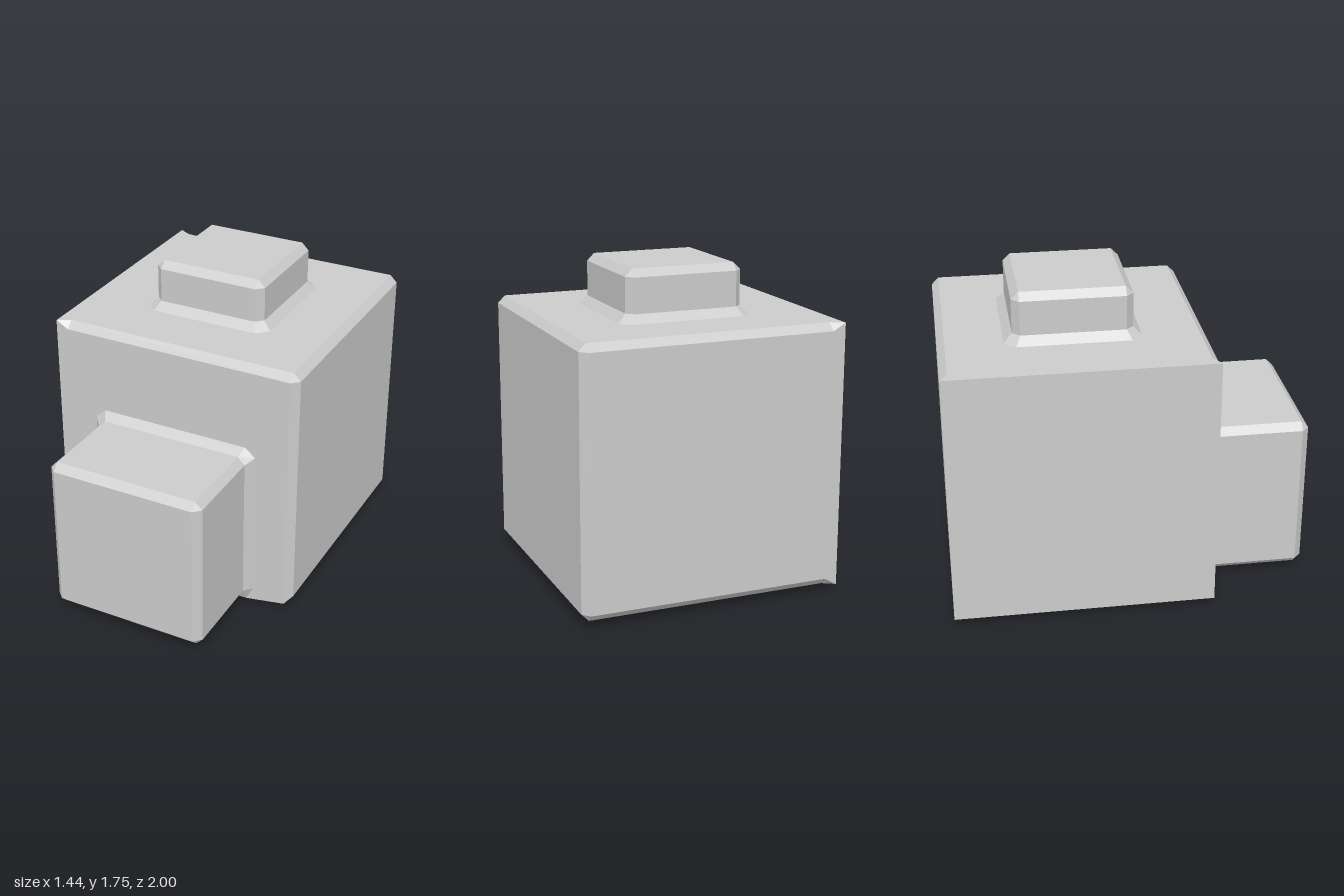
import * as THREE from 'three';

const material = new THREE.MeshStandardMaterial({ color: 0xcccccc, flatShading: true });

// Map (u, v, w) so that w runs along the chosen axis, keeping handedness
const place = {
  x: (u, v, w) => [w, u, v],
  y: (u, v, w) => [v, w, u],
  z: (u, v, w) => [u, v, w],
};

// Rectangle with cut corners, counter-clockwise; c may differ per corner
function cutRect(u0, u1, v0, v1, c) {
  const [a, b, d, e] = Array.isArray(c) ? c : [c, c, c, c];
  return [
    [u1 - a, v0], [u1, v0 + a], [u1, v1 - b], [u1 - b, v1],
    [u0 + d, v1], [u0, v1 - d], [u0, v0 + e], [u0 + e, v0],
  ];
}

// Capped skin through sections [w, loop] along an axis
function loft(name, axis, sections) {
  const rings = sections.map(([w, loop]) =>
    loop.map(([u, v]) => new THREE.Vector3(...place[axis](u, v, w))));
  const points = [];
  const tri = (a, b, c) => {
    const area = b.clone().sub(a).cross(c.clone().sub(a)).length();
    if (area > 1e-8) points.push(a, b, c);
  };
  const n = rings[0].length;
  for (let r = 0; r < rings.length - 1; r++) {
    for (let i = 0; i < n; i++) {
      const j = (i + 1) % n, p = rings[r], q = rings[r + 1];
      tri(p[i], p[j], q[j]);
      tri(p[i], q[j], q[i]);
    }
  }
  const first = rings[0], last = rings[rings.length - 1];
  for (let i = 1; i < n - 1; i++) {
    tri(first[0], first[i + 1], first[i]);
    tri(last[0], last[i], last[i + 1]);
  }
  const geometry = new THREE.BufferGeometry().setFromPoints(points);
  geometry.computeVertexNormals();
  const mesh = new THREE.Mesh(geometry, material);
  mesh.name = name;
  return mesh;
}

export function createModel() {
  const group = new THREE.Group();
  group.name = 'blockModel';
  const B = 0.04; // bevel width

  // Main body: bevels fade out into sharp corners on the -x side
  const bodyLoop = (c) => cutRect(0.04, 1.475, -1, 0.435, c);
  group.add(loft('body', 'x', [
    [-0.72, bodyLoop(0)],
    [-0.65, bodyLoop([B, B, 0, B])],
    [0.68, bodyLoop([B, B, 0, B])],
    [0.72, cutRect(0.08, 1.435, -0.96, 0.395, 0)],
  ]));

  // Lip hanging under the front edge of the body
  const lipX = [-0.72, -0.45, 0.45, 0.68];
  group.add(loft('frontLip', 'z', [
    [0.395, lipX.map((x) => [x, 0.04])],
    [0.435, lipX.map((x, i) => [x, i === 1 || i === 2 ? 0 : 0.04])],
  ]));

  // Front block with a flared foot where it meets the body
  const flare = [
    [0.45, 0], [0.49, 0.08], [0.49, 0.935], [0.43, 0.985],
    [-0.43, 0.985], [-0.49, 0.935], [-0.49, 0.08], [-0.45, 0],
  ];
  const blockLoop = cutRect(-0.45, 0.45, 0.04, 0.945, B);
  group.add(loft('frontBlock', 'z', [
    [0.435, flare],
    [0.48, [...blockLoop]],
    [0.96, blockLoop],
    [1, cutRect(-0.41, 0.41, 0.08, 0.905, 0)],
  ]));

  // Top block with a flared foot (u is z, v is x)
  const topLoop = cutRect(-0.605, 0.04, -0.325, 0.325, B);
  group.add(loft('topBlock', 'y', [
    [1.475, cutRect(-0.65, 0.085, -0.37, 0.37, 0.06)],
    [1.52, topLoop],
    [1.71, topLoop],
    [1.75, cutRect(-0.565, 0, -0.285, 0.285, 0)],
  ]));

  return group;
}
